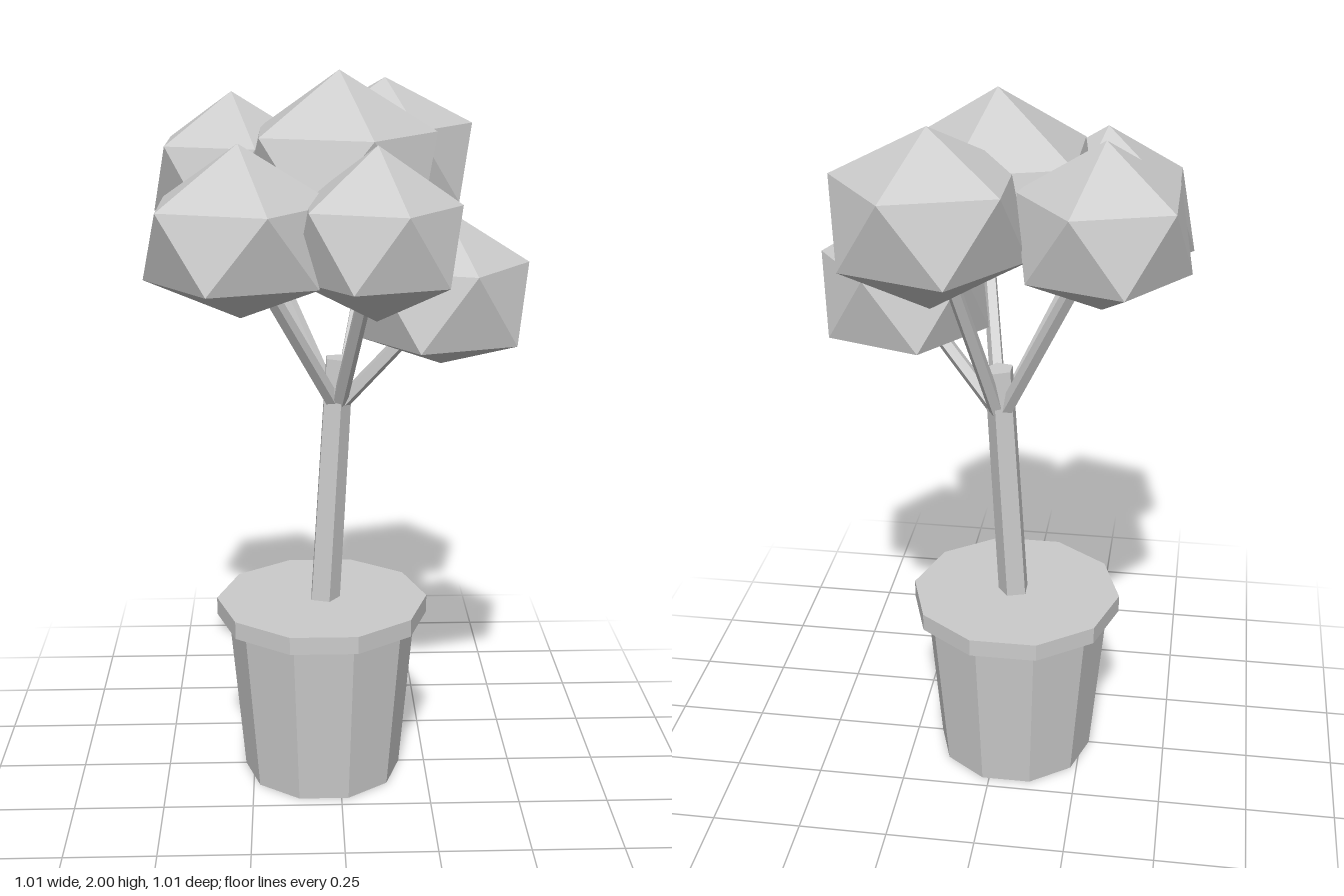
import * as THREE from 'three';

const material = new THREE.MeshStandardMaterial({ color: 0xcccccc, flatShading: true });

function addMesh(parent, name, geometry) {
  const mesh = new THREE.Mesh(geometry, material);
  mesh.name = name;
  parent.add(mesh);
  return mesh;
}

// Faceted cylinder with one corner facing +x
function prism(rTop, rBottom, height, sides) {
  return new THREE.CylinderGeometry(rTop, rBottom, height, sides, 1, false, Math.PI / 2);
}

// Tapered five-sided stick between two points
function addStick(parent, name, from, to, rFrom, rTo) {
  const dir = to.clone().sub(from);
  const mesh = addMesh(parent, name, prism(rTo, rFrom, dir.length(), 5));
  mesh.position.copy(from).addScaledVector(dir, 0.5);
  mesh.quaternion.setFromUnitVectors(new THREE.Vector3(0, 1, 0), dir.normalize());
}

// Twenty-sided leaf ball: top point, two staggered rings of five, bottom point
function leafBall(x, z, r, top, upper, lower, bottom) {
  const points = [x, top, z, x, bottom, z];
  for (let i = 0; i < 5; i++) {
    const a = (i * Math.PI * 2) / 5, b = a + Math.PI / 5;
    points.push(x + r * Math.cos(a), upper, z + r * Math.sin(a));
    points.push(x + r * Math.cos(b), lower, z + r * Math.sin(b));
  }
  const index = [];
  for (let i = 0; i < 5; i++) {
    const j = (i + 1) % 5;
    const u0 = 2 + i * 2, l0 = u0 + 1, u1 = 2 + j * 2, l1 = u1 + 1;
    index.push(0, u1, u0, u0, u1, l0, l0, u1, l1, l0, l1, 1);
  }
  let geometry = new THREE.BufferGeometry();
  geometry.setAttribute('position', new THREE.Float32BufferAttribute(points, 3));
  geometry.setIndex(index);
  geometry = geometry.toNonIndexed();
  geometry.computeVertexNormals();
  return geometry;
}

export function createModel() {
  const model = new THREE.Group();
  model.name = 'pottedTree';

  // Ten-sided pot with a rim
  const pot = new THREE.Group();
  pot.name = 'pot';
  pot.position.x = -0.05;
  model.add(pot);
  addMesh(pot, 'potBody', prism(0.268, 0.225, 0.49, 10)).position.y = 0.245;
  addMesh(pot, 'potRim', prism(0.3, 0.3, 0.05, 10)).position.y = 0.503;

  // Leaning trunk
  addStick(model, 'trunk', new THREE.Vector3(-0.045, 0.5, 0), new THREE.Vector3(-0.002, 1.23, -0.01), 0.045, 0.041);

  // Leaf balls: x, z, radius, then heights of top, upper ring, lower ring, bottom
  const balls = [
    ['leafTop', 0, -0.02, 0.26, 2.0, 1.84, 1.64, 1.5],
    ['leafBackLeft', 0.135, -0.275, 0.245, 1.963, 1.838, 1.637, 1.5],
    ['leafBackRight', -0.29, -0.22, 0.22, 1.93, 1.795, 1.605, 1.5],
    ['leafFrontRight', -0.26, 0.25, 0.245, 1.84, 1.69, 1.5, 1.4],
    ['leafFrontLeft', 0.085, 0.3, 0.213, 1.84, 1.693, 1.507, 1.4],
    ['leafLeft', 0.27, 0.08, 0.23, 1.654, 1.51, 1.312, 1.235],
  ];
  balls.forEach(([name, x, z, r, top, upper, lower, bottom], i) => {
    addMesh(model, name, leafBall(x, z, r, top, upper, lower, bottom));
    if (i === 0) return;
    // Branch from the trunk into the ball
    const out = new THREE.Vector3(x, 0, z).normalize().multiplyScalar(0.018);
    const start = new THREE.Vector3(-0.005 + out.x, 1.11, -0.008 + out.z);
    addStick(model, 'branch', start, new THREE.Vector3(x, (upper + lower) / 2, z), 0.022, 0.02);
  });
  return model;
}
